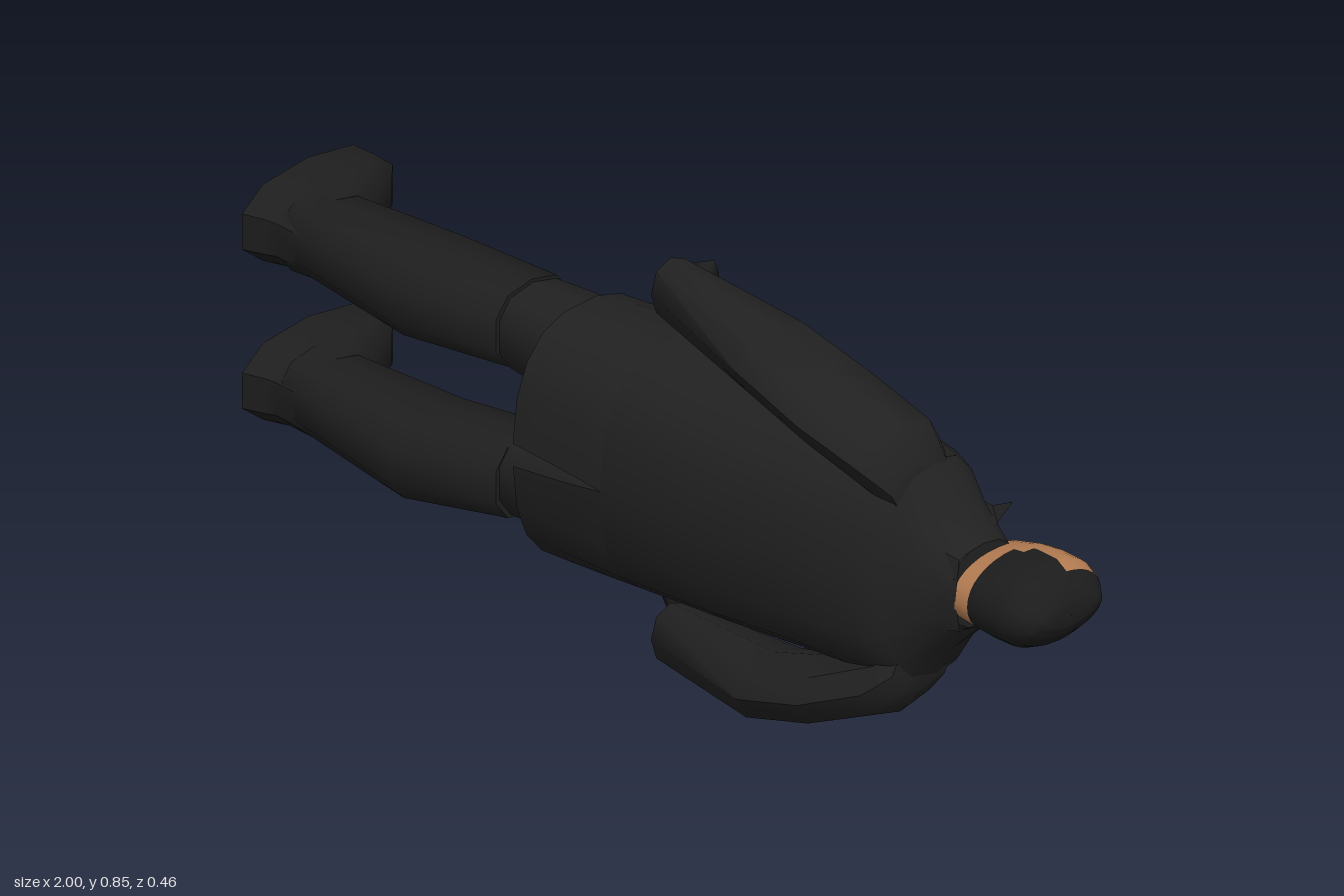
import * as THREE from 'three';
import { toCreasedNormals } from 'three/addons/utils/BufferGeometryUtils.js';

const MID = 0.427; // height of the body's centre line; the figure lies along x, facing -z

const mats = {
  coat: new THREE.MeshStandardMaterial({ name: 'coat black', color: 0x212121, side: THREE.DoubleSide }),
  boot: new THREE.MeshStandardMaterial({ name: 'boot black', color: 0x1e1e1e }),
  hair: new THREE.MeshStandardMaterial({ name: 'hair black', color: 0x1c1c1c }),
  skin: new THREE.MeshStandardMaterial({ name: 'skin tan', color: 0xb57d52 }),
};

// Point on a rounded ring [x, y, z, half height, half depth]
function ringPoint([x, y, z, ry, rz], a, power = 0.8) {
  const c = Math.cos(a), s = Math.sin(a);
  return new THREE.Vector3(
    x,
    y + ry * Math.sign(c) * Math.abs(c) ** power,
    z + rz * Math.sign(s) * Math.abs(s) ** power
  );
}

const ringRows = (rings, sides, power) => rings.map((r) =>
  Array.from({ length: sides + 1 }, (_, j) => ringPoint(r, ((j % sides) / sides) * Math.PI * 2, power)));

function meshFrom(name, tris, mat, crease = 0.85) {
  const geo = new THREE.BufferGeometry().setFromPoints(tris);
  const mesh = new THREE.Mesh(toCreasedNormals(geo, crease), mat);
  mesh.name = name;
  return mesh;
}

// Rows of points joined into triangles
function gridTris(rows) {
  const tris = [];
  for (let i = 0; i < rows.length - 1; i++) {
    for (let j = 0; j < rows[i].length - 1; j++) {
      const a = rows[i][j], b = rows[i][j + 1], c = rows[i + 1][j + 1], d = rows[i + 1][j];
      tris.push(a, b, c, a, c, d);
    }
  }
  return tris;
}

// Closed skin with end caps through rings, listed from low x to high x
function loftTris(rings, sides, power) {
  const rows = ringRows(rings, sides, power);
  const tris = gridTris(rows);
  const first = rows[0], last = rows[rows.length - 1];
  const c0 = new THREE.Vector3(...rings[0].slice(0, 3));
  const c1 = new THREE.Vector3(...rings[rings.length - 1].slice(0, 3));
  for (let j = 0; j < sides; j++) tris.push(c0, first[j + 1], first[j], c1, last[j], last[j + 1]);
  return tris;
}

// Insert evenly spaced rings between the given ones
function refine(rings, n) {
  const out = [];
  for (let i = 0; i < rings.length - 1; i++) {
    for (let k = 0; k < n; k++) out.push(rings[i].map((v, m) => v + (rings[i + 1][m] - v) * (k / n)));
  }
  out.push(rings[rings.length - 1]);
  return out;
}

// Limb rings give the distance from the centre line; side is 1 or -1
const limb = (name, side, rings, sides, mat, power) =>
  meshFrom(name, loftTris(rings.map(([x, o, ...r]) => [x, MID + side * o, ...r]), sides, power), mat);

export function createModel() {
  const model = new THREE.Group();
  model.name = 'figure';

  // Coat body
  const waist = [0.02, 0.43, 0.01, 0.26, 0.207];
  model.add(meshFrom('coatBody', loftTris([
    waist,
    [0.25, 0.427, -0.015, 0.255, 0.215],
    [0.43, 0.427, -0.017, 0.245, 0.198],
    [0.62, 0.427, -0.012, 0.238, 0.165],
    [0.685, 0.427, -0.012, 0.23, 0.135],
    [0.73, 0.427, -0.025, 0.155, 0.11],
    [0.8, 0.427, -0.035, 0.085, 0.085],
  ], 16), mats.coat, 0.6));

  // Coat skirt: two panels, open at the front and vented at the back
  const hem = [-0.205, 0.43, 0.035, 0.26, 0.192];
  for (const side of [1, -1]) {
    const rows = [0, 0.33, 0.67, 1].map((t) => {
      const ring = hem.map((v, m) => v + (waist[m] - v) * t);
      const front = -Math.PI / 2 + 0.5 * (1 - t);
      const back = Math.PI / 2 - 0.05 * (1 - t);
      return Array.from({ length: 9 }, (_, j) => {
        const a = front + (back - front) * (j / 8);
        return ringPoint(ring, side > 0 ? a : Math.PI - a);
      });
    });
    if (side < 0) rows.forEach((r) => r.reverse());
    model.add(meshFrom(side > 0 ? 'leftSkirt' : 'rightSkirt', gridTris(rows), mats.coat));
  }

  // Collar: standing strip around the neck with pointed front tips
  const half = [
    // lower x, out, z, then upper x, out, z
    [0.77, 0, 0.065, 0.81, 0, 0.05],
    [0.76, 0.085, 0.045, 0.805, 0.075, 0.035],
    [0.74, 0.125, -0.03, 0.795, 0.088, -0.03],
    [0.71, 0.13, -0.1, 0.77, 0.095, -0.1],
    [0.69, 0.08, -0.165, 0.735, 0.1, -0.175],
  ];
  const strip = [...half.slice(1).reverse().map((p) => [p, 1]), ...half.map((p) => [p, -1])];
  model.add(meshFrom('collar', gridTris([
    strip.map(([p, s]) => new THREE.Vector3(p[0], MID + s * p[1], p[2])),
    strip.map(([p, s]) => new THREE.Vector3(p[3], MID + s * p[4], p[5])),
  ]), mats.coat));

  // Limbs, mirrored across the centre line
  for (const side of [1, -1]) {
    const label = side > 0 ? 'upper' : 'lower';
    model.add(limb(label + 'Sleeve', side, [
      [0.01, 0.365, 0.02, 0.06, 0.052],
      [0.33, 0.345, 0.06, 0.065, 0.1],
      [0.5, 0.295, 0.055, 0.066, 0.112],
      [0.64, 0.235, 0.03, 0.07, 0.105],
      [0.69, 0.19, 0.02, 0.055, 0.08],
    ], 8, mats.coat, 0.9));
    // The lower hand hangs a little further out of its cuff and is turned inward
    const reach = side > 0 ? 0 : 0.035, turn = side > 0 ? 0 : 0.02;
    model.add(limb(label + 'Glove', side, [
      [-0.06 - reach, 0.315 - turn, -0.08, 0.018, 0.015],
      [-0.03 - reach, 0.335 - turn, -0.06, 0.034, 0.036],
      [0.03 - reach, 0.36 - turn, -0.042, 0.042, 0.046],
      [0.07, 0.36, 0.0, 0.035, 0.03],
    ], 8, mats.boot));
    model.add(limb(label + 'Thigh', side, [
      [-0.38, 0.155, 0.022, 0.085, 0.092],
      [-0.2, 0.146, 0.015, 0.1, 0.105],
      [0.06, 0.14, 0.0, 0.12, 0.13],
    ], 10, mats.coat));
    model.add(limb(label + 'BootShaft', side, [
      [-0.92, 0.165, 0.055, 0.08, 0.09],
      [-0.86, 0.168, 0.055, 0.078, 0.092],
      [-0.58, 0.172, 0.07, 0.092, 0.12],
      [-0.36, 0.16, 0.024, 0.088, 0.099],
    ], 10, mats.boot));
    model.add(limb(label + 'Foot', side, [
      [-1.0, 0.168, -0.01, 0.096, 0.182],
      [-0.95, 0.168, -0.018, 0.094, 0.174],
      [-0.93, 0.168, -0.01, 0.088, 0.16],
      [-0.86, 0.168, 0.052, 0.078, 0.094],
    ], 10, mats.boot));
  }

  // Head, split by rule into skin and hair, patch by patch
  const head = gridTris(ringRows(refine([
    [0.755, 0.42, -0.075, 0.05, 0.1],
    [0.78, 0.42, -0.07, 0.066, 0.12],
    [0.84, 0.42, -0.075, 0.08, 0.124],
    [0.88, 0.42, -0.075, 0.085, 0.125],
    [0.93, 0.42, -0.074, 0.084, 0.124],
    [0.96, 0.42, -0.072, 0.07, 0.115],
    [0.985, 0.42, -0.07, 0.046, 0.096],
    [0.999, 0.42, -0.07, 0.02, 0.07],
    [1.0, 0.42, -0.07, 0.001, 0.001],
  ], 3), 32, 0.95));
  const skin = [], hair = [];
  for (let i = 0; i < head.length; i += 6) {
    const c = head[i].clone().add(head[i + 2]).divideScalar(2);
    const isHair = c.x > 0.96 || (c.x > 0.84 && c.z > (c.x > 0.87 ? -0.105 : -0.07));
    (isHair ? hair : skin).push(...head.slice(i, i + 6));
  }
  model.add(meshFrom('face', skin, mats.skin, 1));
  model.add(meshFrom('hair', hair, mats.hair, 1));

  // Nose
  model.add(meshFrom('nose', loftTris([
    [0.835, 0.42, -0.192, 0.012, 0.01],
    [0.85, 0.42, -0.195, 0.012, 0.012],
    [0.895, 0.42, -0.192, 0.006, 0.008],
  ], 8), mats.skin));

  return model;
}
